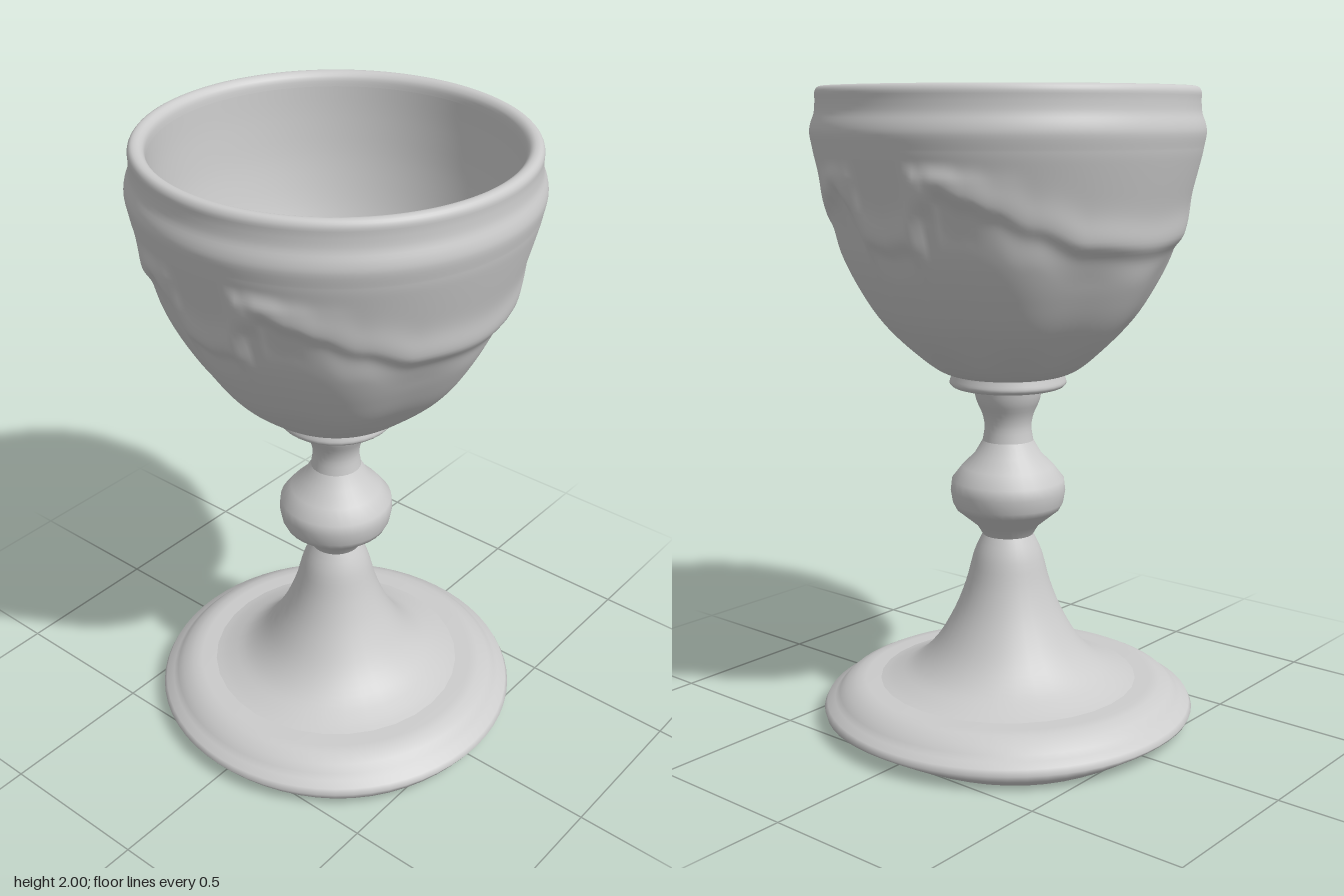
import * as THREE from 'three';
import { mergeVertices } from 'three/addons/utils/BufferGeometryUtils.js';

const material = new THREE.MeshStandardMaterial({ color: 0xcccccc });
const { smoothstep, lerp } = THREE.MathUtils;
const toPoints = (list) => list.map(([r, y]) => new THREE.Vector2(r, y));
const smooth = (list, n) => new THREE.SplineCurve(toPoints(list)).getPoints(n);

// Turned part; warp(angle, radius, y) may return a new [radius, y]
function turned(name, points, segments, warp) {
  let geo = new THREE.LatheGeometry(points, segments);
  if (warp) {
    const p = geo.attributes.position;
    for (let i = 0; i < p.count; i++) {
      const a = Math.atan2(p.getX(i), p.getZ(i));
      const [r, y] = warp(a, Math.hypot(p.getX(i), p.getZ(i)), p.getY(i));
      p.setXYZ(i, Math.sin(a) * r, y, Math.cos(a) * r);
    }
    // weld the seam so shading runs round without a break
    geo.deleteAttribute('uv');
    geo.deleteAttribute('normal');
    geo = mergeVertices(geo, 1e-5);
    geo.computeVertexNormals();
  }
  const mesh = new THREE.Mesh(geo, material);
  mesh.name = name;
  return mesh;
}

// Height of the draped swag: angle from front/back (0) to the sides (PI/2)
const swagLine = [
  [0, 1.55], [0.45, 1.565], [0.75, 1.62], [0.95, 1.67], [1.1, 1.7], [1.23, 1.735],
  [1.33, 1.69], [1.42, 1.575], [1.58, 1.56],
];
function swagHeight(a) {
  let i = 0;
  while (i < swagLine.length - 2 && a > swagLine[i + 1][0]) i++;
  const [a0, y0] = swagLine[i], [a1, y1] = swagLine[i + 1];
  return lerp(y0, y1, smoothstep(a, a0, a1));
}

// Swag relief above, shallow petal flutes below
function bowlRelief(a, r, y) {
  let f = Math.abs(a);
  if (f > Math.PI / 2) f = Math.PI - f;
  const slope = (swagHeight(f + 0.03) - swagHeight(f - 0.03)) / (0.06 * 0.54);
  const d = (y - swagHeight(f)) / Math.hypot(1, slope);
  const width = d > 0 ? 0.06 : 0.03;
  // the cloth thins out between the swag and the hooks beside it
  const depth = 0.018 - 0.007 * Math.exp(-(((f - 0.8) / 0.25) ** 2));
  const fade = 1 - smoothstep(y, 1.74, 1.8);
  const swag = depth * Math.exp(-((d / width) ** 2)) * fade;
  const below = smoothstep(y, 1.14, 1.28) * (1 - smoothstep(d, -0.12, 0));
  return [r + swag + 0.008 * Math.cos(8 * a) * below, y];
}

// Gentle four-fold wave along the bottom edge of the foot
function footWave(a, r, y) {
  const amount = r > 0.3 ? smoothstep(r, 0.3, 0.5) * (1 - smoothstep(y, 0.01, 0.06)) : 0;
  return [r, y + 0.01 * (1 + Math.cos(4 * a)) * amount];
}

export function createModel() {
  const goblet = new THREE.Group();
  goblet.name = 'goblet';

  // Foot: hollow underside, rounded rim and stepped top
  const underside = smooth([[0, 0.26], [0.06, 0.24], [0.12, 0.19], [0.2, 0.115], [0.27, 0.078],
    [0.4, 0.04], [0.5, 0.008], [0.54, 0]], 28);
  const rim = toPoints([[0.565, 0.01], [0.588, 0.03], [0.594, 0.05], [0.585, 0.068], [0.56, 0.08],
    [0.545, 0.095], [0.525, 0.115], [0.49, 0.132], [0.46, 0.135], [0.36, 0.138]]);
  goblet.add(turned('foot', [...underside, ...rim], 64, footWave));

  // Flared lower stem
  goblet.add(turned('lowerStem', smooth([[0.42, 0.134], [0.37, 0.15], [0.3, 0.185], [0.235, 0.25],
    [0.175, 0.35], [0.135, 0.45], [0.108, 0.55], [0.078, 0.615]], 24), 32));

  // Knop and neck
  goblet.add(turned('knop', toPoints([[0.077, 0.605], [0.1, 0.642], [0.165, 0.695], [0.175, 0.715],
    [0.182, 0.755], [0.178, 0.79], [0.145, 0.832], [0.105, 0.872], [0.08, 0.915]]), 32));
  goblet.add(turned('neck', smooth([[0.08, 0.915], [0.074, 0.96], [0.081, 1.0], [0.1, 1.045], [0.108, 1.09]], 12), 32));

  // Rounded collar under the bowl
  goblet.add(turned('collar', smooth([[0.1, 1.075], [0.145, 1.083], [0.172, 1.088], [0.183, 1.1],
    [0.179, 1.118], [0.176, 1.135], [0.19, 1.15]], 18), 32));

  // Bowl wall with swags, running up into the banded lip
  const outside = smooth([[0.1, 1.12], [0.2, 1.135], [0.29, 1.2], [0.385, 1.3], [0.45, 1.4],
    [0.499, 1.5], [0.532, 1.6], [0.56, 1.7], [0.583, 1.79], [0.59, 1.825]], 80);
  const lip = smooth([[0.591, 1.83], [0.597, 1.865], [0.593, 1.893], [0.582, 1.925], [0.579, 1.96],
    [0.579, 1.985], [0.568, 2], [0.548, 2], [0.533, 1.985], [0.529, 1.96]], 28);
  goblet.add(turned('bowl', [...outside, ...lip], 192, bowlRelief));

  // Smooth inside of the bowl
  goblet.add(turned('bowlInside', smooth([[0.529, 1.96], [0.522, 1.85], [0.502, 1.7], [0.455, 1.53],
    [0.365, 1.36], [0.22, 1.235], [0.1, 1.19], [0, 1.18]], 30), 192));

  return goblet;
}
